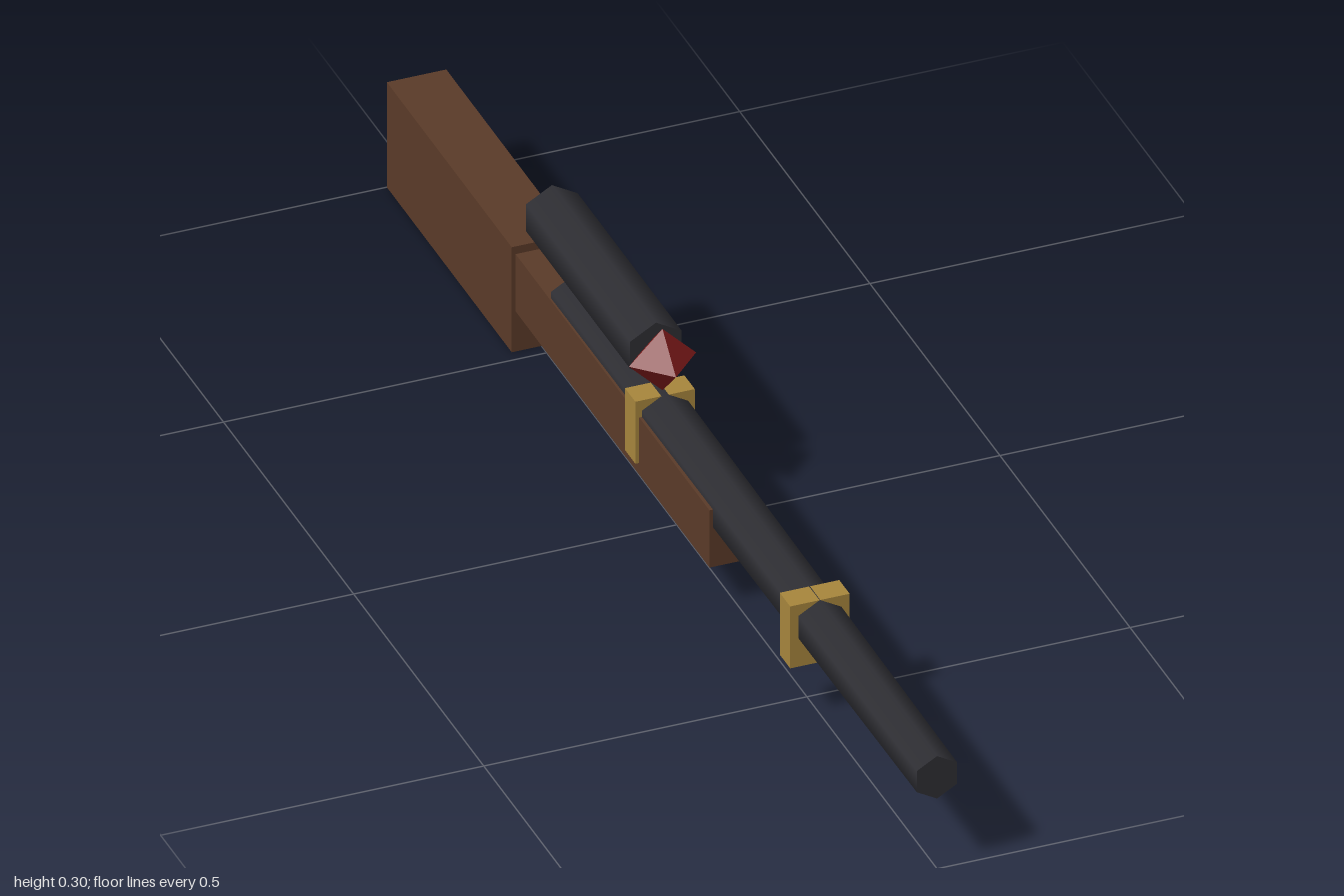
import * as THREE from 'three';

export function createModel() {
  const model = new THREE.Group();
  const paint = (color, flatShading = false) => new THREE.MeshStandardMaterial({ color, flatShading });
  const wood = paint(0x5a3a28);
  const steel = paint(0x2e2e33);
  const brass = paint(0xa6853c);
  const ruby = paint(0x7f1a1a, true);

  const add = (name, geometry, material, y, z) => {
    const mesh = new THREE.Mesh(geometry, material);
    mesh.name = name;
    mesh.position.set(0, y, z);
    model.add(mesh);
  };
  // Box given by its y and z ranges
  const box = (name, width, y0, y1, z0, z1, material) =>
    add(name, new THREE.BoxGeometry(width, y1 - y0, z1 - z0), material, (y0 + y1) / 2, (z0 + z1) / 2);
  // Six-sided tube along z, with a corner at the top
  const hexTube = (name, frontRadius, backRadius, y, z0, z1) =>
    add(name, new THREE.CylinderGeometry(frontRadius, backRadius, z1 - z0, 6).rotateX(Math.PI / 2),
      steel, y, (z0 + z1) / 2);

  // Wooden stock
  box('buttStock', 0.092, 0, 0.178, -1, -0.52, wood);
  box('foreStock', 0.08, 0.068, 0.165, -0.53, 0.225, wood);

  // Tapered barrel and sight tube
  hexTube('barrel', 0.036, 0.043, 0.155, -0.39, 1);
  hexTube('scopeTube', 0.046, 0.046, 0.25, -0.48, -0.08);

  // Barrel bands
  for (const [name, z] of [['frontBand', 0.53], ['rearBand', -0.065]])
    box(name, 0.092, 0.088, 0.193, z - 0.02, z + 0.02, brass);

  // Faceted gem lens at the front of the sight
  add('scopeGem', new THREE.OctahedronGeometry(0.052), ruby, 0.248, -0.055);

  return model;
}
